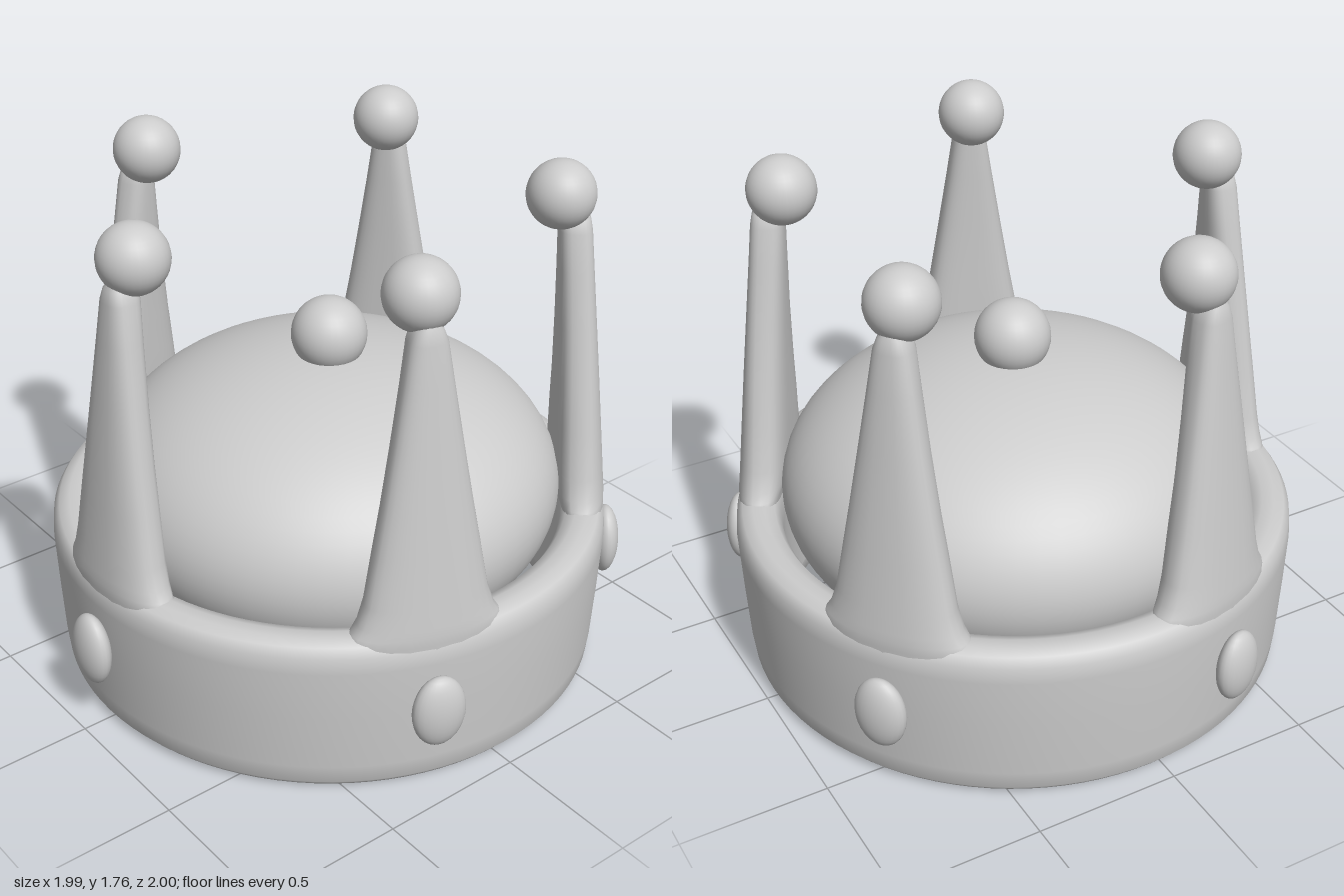
import * as THREE from 'three';

const SPIKES = 5;
const signedPow = (v, p) => Math.sign(v) * Math.pow(Math.abs(v), p);

// Rounded band of the crown, a closed profile turned about the axis
function bandGeometry() {
  const corners = [
    [0.8, 0.1], [0.805, 0.05], [0.835, 0.015], [0.88, 0.006], [0.915, 0.01], [0.936, 0.035],
    [0.943, 0.1], [0.953, 0.3], [0.96, 0.48], [0.955, 0.535], [0.935, 0.565], [0.9, 0.577],
    [0.86, 0.575], [0.825, 0.562], [0.806, 0.53], [0.8, 0.46], [0.8, 0.1],
  ];
  return new THREE.LatheGeometry(corners.map(([r, y]) => new THREE.Vector2(r, y)), 96);
}

// Tapering spike that follows the curve of the band, lofted from rounded sections
function spikeGeometry() {
  // height, half width, inner radius, outer radius
  const sections = [
    [0.45, 0.27, 0.81, 0.95], [0.55, 0.265, 0.802, 0.956], [0.58, 0.245, 0.79, 0.956],
    [0.61, 0.225, 0.782, 0.953], [0.68, 0.202, 0.775, 0.946], [0.85, 0.172, 0.768, 0.928],
    [1.0, 0.145, 0.764, 0.912], [1.2, 0.112, 0.757, 0.89], [1.4, 0.08, 0.748, 0.868],
    [1.53, 0.06, 0.742, 0.854], [1.57, 0.045, 0.742, 0.846], [1.6, 0.025, 0.75, 0.83],
  ];
  const n = 28, pos = [], index = [];
  sections.forEach(([y, half, rIn, rOut], i) => {
    const mid = (rIn + rOut) / 2, thick = (rOut - rIn) / 2;
    for (let j = 0; j < n; j++) {
      const a = (j / n) * Math.PI * 2;
      const r = mid + thick * signedPow(Math.sin(a), 0.75);
      const t = (half / mid) * signedPow(Math.cos(a), 0.8);
      pos.push(r * Math.sin(t), y, r * Math.cos(t));
      if (i < sections.length - 1) {
        const p = i * n + j, q = i * n + (j + 1) % n;
        index.push(p, p + n, q, q, p + n, q + n);
      }
    }
  });
  const g = new THREE.BufferGeometry();
  g.setAttribute('position', new THREE.Float32BufferAttribute(pos, 3));
  g.setIndex(index);
  g.computeVertexNormals();
  return g;
}

export function createModel() {
  const model = new THREE.Group();
  model.name = 'crown';
  const grey = new THREE.MeshStandardMaterial({ color: 0xcccccc });
  grey.name = 'light grey';

  const body = new THREE.Group();
  body.name = 'crownBody';
  body.position.z = -0.037;
  model.add(body);

  const add = (parent, name, geometry, x, y, z) => {
    const mesh = new THREE.Mesh(geometry, grey);
    mesh.name = name;
    mesh.position.set(x, y, z);
    parent.add(mesh);
    return mesh;
  };

  add(body, 'band', bandGeometry(), 0, 0, 0);

  // Flattened cushion inside the band, with a ball on top
  const cushion = new THREE.SphereGeometry(1, 64, 40).scale(0.795, 0.48, 0.795);
  add(body, 'cushion', cushion, 0, 0.62, 0);
  add(body, 'topBall', new THREE.SphereGeometry(0.128, 32, 20), 0, 1.162, 0);

  // Five spikes, each with a ball at its tip and a gem at its foot
  const spike = spikeGeometry();
  const ball = new THREE.SphereGeometry(0.115, 32, 20);
  const gem = new THREE.SphereGeometry(1, 24, 16).scale(0.09, 0.13, 0.05);
  for (let i = 0; i < SPIKES; i++) {
    const point = new THREE.Group();
    point.name = 'point' + (i + 1);
    point.rotation.y = (i / SPIKES) * Math.PI * 2;
    add(point, 'spike', spike, 0, 0, 0);
    add(point, 'spikeBall', ball, 0, 1.65, 0.745);
    add(point, 'gem', gem, 0, 0.318, 0.986);
    body.add(point);
  }
  return model;
}
